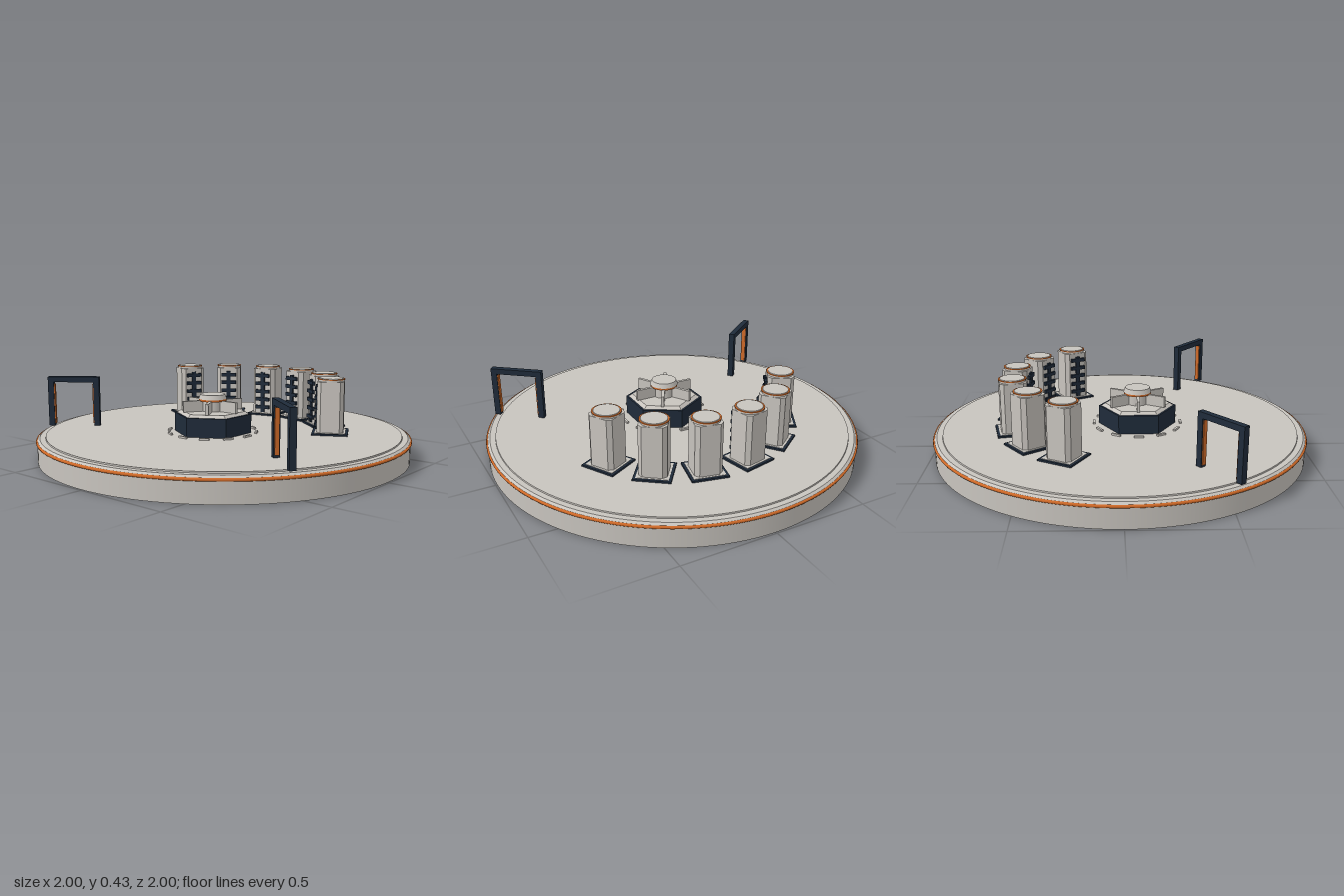
import * as THREE from 'three';

export function createModel() {
  const mat = (name, color) => {
    const m = new THREE.MeshStandardMaterial({ color });
    m.name = name;
    return m;
  };
  const stone = mat('warm grey', 0xc8c4be);
  const navy = mat('dark navy', 0x1f2b3a);
  const orange = mat('orange', 0xd06a28);

  const root = new THREE.Group();
  root.name = 'platform';
  const add = (parent, name, geo, material, x = 0, y = 0, z = 0, ry = 0) => {
    const m = new THREE.Mesh(geo, material);
    m.name = name;
    m.position.set(x, y, z);
    m.rotation.y = ry;
    parent.add(m);
    return m;
  };
  const box = (w, h, d) => new THREE.BoxGeometry(w, h, d);
  const cyl = (r0, r1, h, n = 48) => new THREE.CylinderGeometry(r0, r1, h, n);
  const group = (name, x, y, z, ry = 0) => {
    const g = new THREE.Group();
    g.name = name;
    g.position.set(x, y, z);
    g.rotation.y = ry;
    root.add(g);
    return g;
  };
  const DECK = 0.132;

  // Round base, raised deck and orange edge trim
  add(root, 'base', cyl(0.992, 0.992, 0.114, 128), stone, 0, 0.057, 0);
  add(root, 'rim', cyl(0.978, 0.992, 0.011, 128), stone, 0, 0.1195, 0);
  add(root, 'deck', cyl(0.948, 0.95, 0.012, 128), stone, 0, DECK - 0.006, 0);
  const trim = new THREE.TorusGeometry(0.991, 0.008, 8, 128);
  trim.rotateX(Math.PI / 2);
  add(root, 'edgeTrim', trim, orange, 0, 0.108, 0);

  // Chamfered square column
  const h = 0.07, c = 0.02;
  const outline = new THREE.Shape([
    [h, -h + c], [h, h - c], [h - c, h], [-h + c, h],
    [-h, h - c], [-h, -h + c], [-h + c, -h], [h - c, -h],
  ].map(([x, y]) => new THREE.Vector2(x, y)));
  const column = new THREE.ExtrudeGeometry(outline, { depth: 0.278, bevelEnabled: false });
  column.rotateX(-Math.PI / 2);

  // Arc of six towers facing the middle
  for (let i = 0; i < 6; i++) {
    const a = THREE.MathUtils.degToRad((i - 2.5) * 24.4);
    const t = group('tower', 0.575 * Math.sin(a), DECK, -0.575 * Math.cos(a), -a);
    add(t, 'footPlate', box(0.188, 0.009, 0.188), navy, 0, 0.0045, 0);
    add(t, 'footInset', box(0.162, 0.004, 0.162), stone, 0, 0.009, 0);
    add(t, 'column', column, stone);
    add(t, 'cap', cyl(0.07, 0.07, 0.012), stone, 0, 0.283, 0);
    add(t, 'capRing', cyl(0.073, 0.073, 0.004), orange, 0, 0.289, 0);
    add(t, 'capTop', cyl(0.064, 0.066, 0.004), stone, 0, 0.292, 0);
    // Spine with five cross fins on the inner face
    add(t, 'spine', box(0.024, 0.24, 0.01), navy, 0, 0.138, h + 0.004);
    for (let k = 0; k < 5; k++) {
      add(t, 'fin', box(0.086, 0.02, 0.014), navy, 0, 0.048 + k * 0.0475, h + 0.006);
    }
  }

  // Hexagonal core with radial vanes and a round hub
  const core = group('core', 0, DECK, 0.094);
  const hex = (r0, r1, height) => new THREE.CylinderGeometry(r0, r1, height, 6).toNonIndexed();
  const addHex = (name, r0, r1, height, y, material) => {
    const g = hex(r0, r1, height);
    g.computeVertexNormals();
    add(core, name, g, material, 0, y, 0);
  };
  addHex('coreBase', 0.208, 0.208, 0.1, 0.05, navy);
  addHex('coreTop', 0.175, 0.196, 0.014, 0.107, stone);
  add(core, 'hub', cyl(0.058, 0.058, 0.06), stone, 0, 0.14, 0);
  add(core, 'hubRing', cyl(0.073, 0.073, 0.012), orange, 0, 0.174, 0);
  add(core, 'hubCap', cyl(0.066, 0.075, 0.024), stone, 0, 0.191, 0);
  for (let i = 0; i < 6; i++) {
    const vane = box(0.115, 0.058, 0.016);
    vane.translate(0.107, 0, 0);
    add(core, 'vane', vane, stone, 0, 0.143, 0, i * Math.PI / 3);
  }
  // Ring of floor dashes around the core
  for (let i = 0; i < 12; i++) {
    const dash = box(0.013, 0.01, 0.052);
    dash.translate(0.235, 0, 0);
    add(core, 'floorDash', dash, stone, 0, 0.005, 0, i * Math.PI / 6);
  }

  // Mirrored pair of gates with orange inner strips
  for (const s of [-1, 1]) {
    const gate = group('gate', s * 0.714, DECK, 0.447, -s * THREE.MathUtils.degToRad(38.5));
    add(gate, 'lintel', box(0.284, 0.03, 0.032), navy, 0, 0.258, 0);
    for (const e of [-1, 1]) {
      add(gate, 'post', box(0.032, 0.245, 0.032), navy, e * 0.126, 0.1225, 0);
      add(gate, 'postStrip', box(0.008, 0.22, 0.022), orange, e * 0.108, 0.122, 0);
    }
  }
  return root;
}
